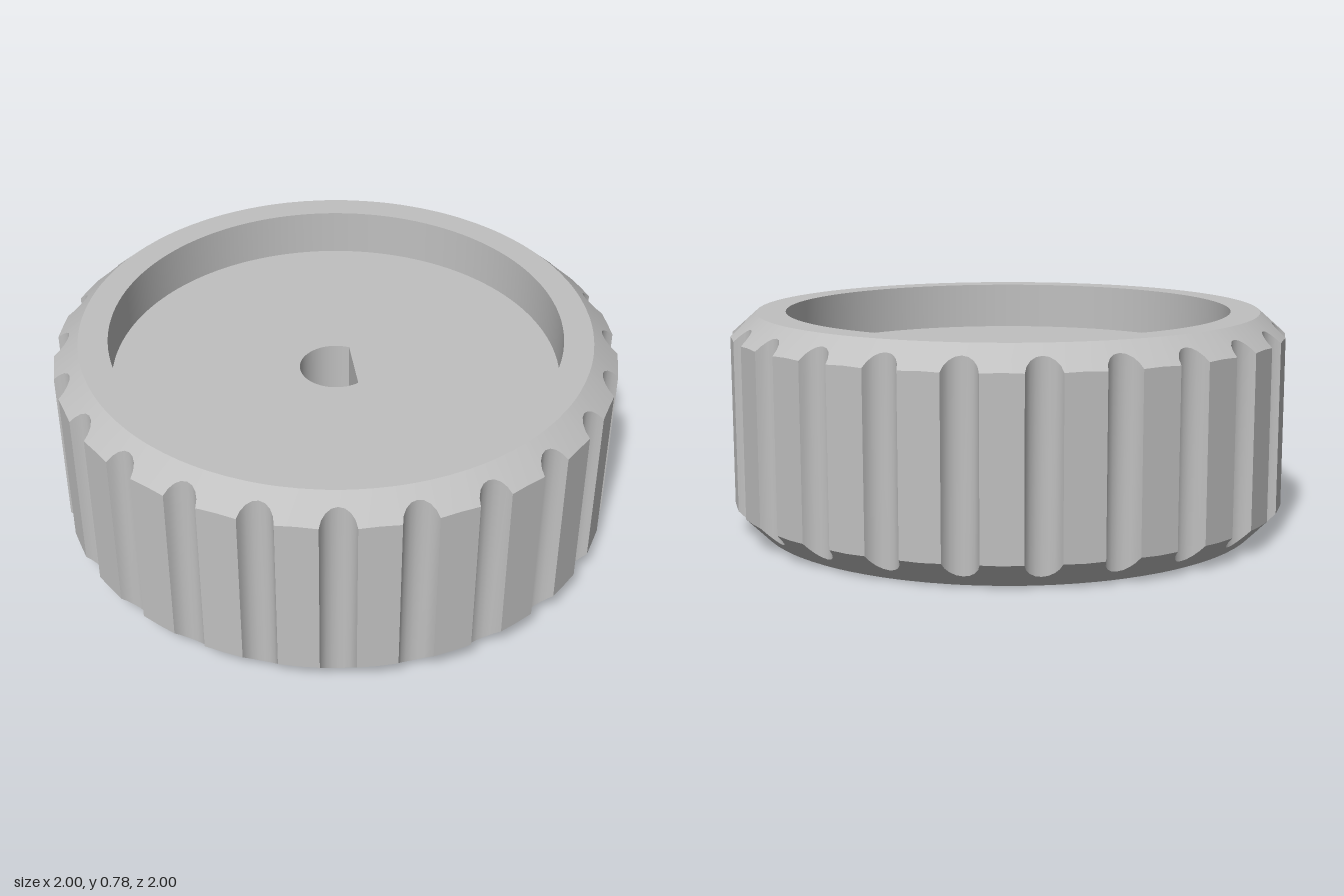
import * as THREE from 'three';
import { toCreasedNormals } from 'three/addons/utils/BufferGeometryUtils.js';

const H = 0.78, RIM = 0.91, FLUTES = 24, LAND = 0.07;
const RECESS = 0.805, FLOOR = 0.607;
const BORE = 0.13, FLAT = 0.065, BORE_BOTTOM = 0.2;
const SCREW_Y = 0.42, SCREW = 0.069;
const NOTCH = 0.09, NOTCH_START = 0.27;

const bottomY = r => r - RIM;                         // lower chamfer
const topY = r => 0.7 + (1 - r) * 0.08 / 0.09;        // upper chamfer
const V2 = (x, y) => new THREE.Vector2(x, y);
const at = (p, y) => [p.x, y, p.y];                   // plan point (x, z) lifted to height y

// Closed plan outline, starting mid-land at the front and turning towards +x
function flutedOutline() {
  const pts = [], step = Math.PI * 2 / FLUTES;
  const place = (u, v, a) => pts.push(V2(v * Math.sin(a) + u * Math.cos(a), v * Math.cos(a) - u * Math.sin(a)));
  const r = Math.hypot(LAND, 1), half = step / 2 - Math.atan(LAND);
  const w = r * Math.sin(half), lift = 1.012 - r * Math.cos(half);
  const radius = Math.hypot(w, lift), a0 = Math.atan2(w, lift);
  for (let k = 0; k < FLUTES; k++) {
    place(0, 1, k * step);
    place(LAND, 1, k * step);
    for (let i = 1; i < 8; i++) {
      const a = -a0 + 2 * a0 * i / 8;
      place(radius * Math.sin(a), 1.012 - radius * Math.cos(a), (k + 0.5) * step);
    }
    place(-LAND, 1, (k + 1) * step);
  }
  place(0, 1, Math.PI * 2);
  return pts;
}

// Geometry from four-cornered faces, counter-clockwise from outside
function fromQuads(quads) {
  const pos = [];
  const tri = (a, b, c) => {
    const [A, B, C] = [a, b, c].map(p => new THREE.Vector3(...p));
    if (B.sub(A).cross(C.sub(A)).length() > 1e-9) pos.push(...a, ...b, ...c);
  };
  for (const [a, b, c, d] of quads) { tri(a, b, c); tri(a, c, d); }
  const g = new THREE.BufferGeometry();
  g.setAttribute('position', new THREE.Float32BufferAttribute(pos, 3));
  g.computeVertexNormals();
  return toCreasedNormals(g, 0.5);
}

const circle = r => new THREE.Path().absarc(0, 0, r, 0, Math.PI * 2);
const diamond = () => new THREE.Path([
  V2(SCREW, SCREW_Y), V2(0, SCREW_Y + SCREW), V2(-SCREW, SCREW_Y), V2(0, SCREW_Y - SCREW), V2(SCREW, SCREW_Y)]);
const dOutline = () => {
  const p = new THREE.Shape();
  p.absarc(0, 0, BORE, Math.PI / 3, Math.PI * 5 / 3);
  p.closePath();
  return p;
};
const flatUp = (shape, y) => new THREE.ShapeGeometry(shape, 64).rotateX(-Math.PI / 2).translate(0, y, 0);
const flatDown = (shape, y) => new THREE.ShapeGeometry(shape, 64).rotateX(Math.PI / 2).translate(0, y, 0);

export function createModel() {
  const group = new THREE.Group();
  const grey = new THREE.MeshStandardMaterial({ color: 0xc0c0c0, side: THREE.DoubleSide });
  grey.name = 'grey';
  const add = (name, geometry) => {
    const m = new THREE.Mesh(geometry, grey);
    m.name = name;
    group.add(m);
    return m;
  };

  const outline = flutedOutline();
  const rim = p => p.clone().setLength(RIM);
  const mouthZ = Math.sqrt(RIM * RIM - NOTCH * NOTCH);
  // Lower rim point, pushed aside to leave the notch mouth open
  const lowerRim = (p, side) => {
    const q = rim(p);
    return q.y > 0 && Math.abs(q.x) < NOTCH ? V2(side * NOTCH, mouthZ) : q;
  };

  // Fluted grip and both chamfers
  const grip = [], upper = [], lower = [];
  for (let i = 0; i + 1 < outline.length; i++) {
    const a = outline[i], b = outline[i + 1], side = Math.sign(a.x + b.x);
    const ra = a.length(), rb = b.length();
    const la = at(a, bottomY(ra)), lb = at(b, bottomY(rb)), ua = at(a, topY(ra)), ub = at(b, topY(rb));
    lower.push([at(lowerRim(a, side), 0), at(lowerRim(b, side), 0), lb, la]);
    upper.push([ua, ub, at(rim(b), H), at(rim(a), H)]);
    if (!(a.x > 0.9999 && b.x > 0.9999)) grip.push([la, lb, ub, ua]);
  }
  add('flutedGrip', fromQuads(grip));
  add('upperChamfer', fromQuads(upper));
  add('lowerChamfer', fromQuads(lower));

  // Grip panel pierced by the set screw hole
  const corner = Math.hypot(1, LAND);
  const panel = new THREE.Shape([
    V2(-LAND, bottomY(corner)), V2(0, bottomY(1)), V2(LAND, bottomY(corner)),
    V2(LAND, topY(corner)), V2(0, topY(1)), V2(-LAND, topY(corner))]);
  panel.holes.push(diamond());
  add('screwPanel', new THREE.ShapeGeometry(panel).rotateY(Math.PI / 2).translate(1, 0, 0));
  const screw = new THREE.CylinderGeometry(SCREW, SCREW, 1 - FLAT, 4, 1, true);
  add('setScrewHole', toCreasedNormals(screw.rotateZ(Math.PI / 2).translate((1 + FLAT) / 2, SCREW_Y, 0), 0.5));

  // Top rim and round recess
  const rimShape = new THREE.Shape(outline.slice(0, -1).map(p => { const q = rim(p); return V2(q.x, -q.y); }));
  rimShape.holes.push(circle(RECESS));
  add('topRim', flatUp(rimShape, H));
  add('recessWall', new THREE.CylinderGeometry(RECESS, RECESS, H - FLOOR, 128, 1, true)
    .translate(0, (H + FLOOR) / 2, 0));
  const floor = new THREE.Shape().absarc(0, 0, RECESS, 0, Math.PI * 2);
  floor.holes.push(dOutline());
  add('recessFloor', flatUp(floor, FLOOR));

  // D-shaped shaft bore
  add('boreWall', new THREE.CylinderGeometry(BORE, BORE, FLOOR - BORE_BOTTOM, 64, 1, true,
    Math.PI * 5 / 6, Math.PI * 4 / 3).translate(0, (FLOOR + BORE_BOTTOM) / 2, 0));
  add('boreFloor', flatUp(dOutline(), BORE_BOTTOM));
  const w = Math.sqrt(BORE * BORE - FLAT * FLAT);
  const flat = new THREE.Shape([V2(-w, BORE_BOTTOM), V2(w, BORE_BOTTOM), V2(w, FLOOR), V2(-w, FLOOR)]);
  flat.holes.push(diamond());
  add('boreFlat', new THREE.ShapeGeometry(flat).rotateY(-Math.PI / 2).translate(FLAT, 0, 0));

  // Base with the V-shaped pointer notch
  const base = outline.map((p, i) => lowerRim(p, i < outline.length / 2 ? 1 : -1));
  base.push(V2(-NOTCH, NOTCH_START), V2(NOTCH, NOTCH_START));
  const unique = base.filter((p, i) => i === 0 || p.distanceTo(base[i - 1]) > 1e-6);
  add('base', flatDown(new THREE.Shape(unique), 0));
  const apexIn = [0, NOTCH, NOTCH_START], apexOut = [0, NOTCH, 1];
  const foot = (s, z) => [s * NOTCH, 0, z];
  add('pointerNotch', fromQuads([
    [foot(-1, NOTCH_START), foot(-1, mouthZ), apexOut, apexIn],
    [foot(1, mouthZ), foot(1, NOTCH_START), apexIn, apexOut],
    [foot(-1, NOTCH_START), foot(1, NOTCH_START), apexIn, apexIn]]));

  return group;
}
